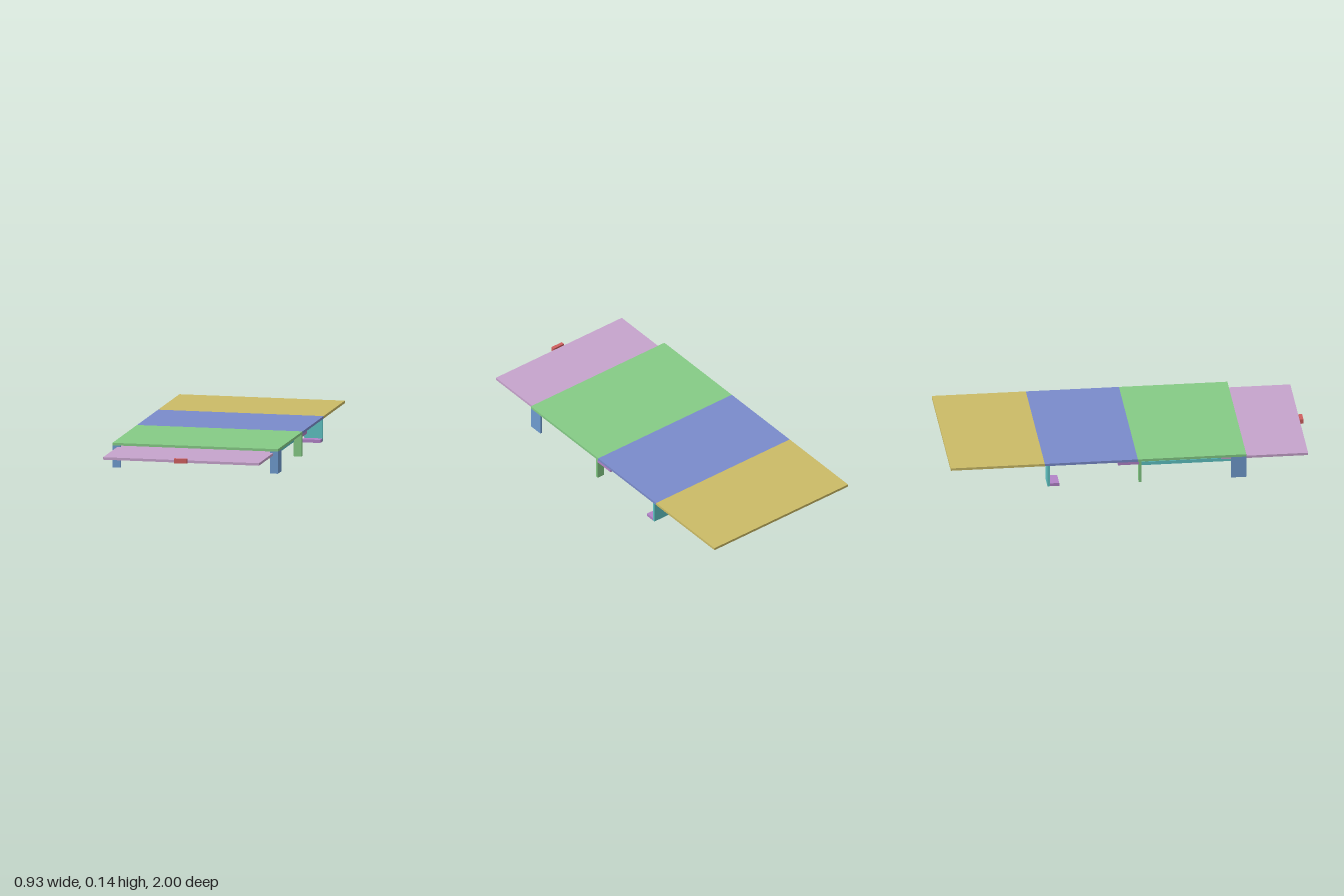
import * as THREE from 'three';

const mat = (name, color) => {
  const m = new THREE.MeshStandardMaterial({ color });
  m.name = name;
  return m;
};

export function createModel() {
  const M = {
    yellow: mat('sand yellow', 0xcbbb66),
    blue: mat('slate blue', 0x7a8bcb),
    green: mat('leaf green', 0x85cb86),
    mauve: mat('pale mauve', 0xc6a3cc),
    red: mat('soft red', 0xcf5f5f),
    steel: mat('steel blue', 0x6f9bcf),
    teal: mat('teal', 0x5fc3c3),
    lime: mat('lime', 0xa9cb78),
    violet: mat('violet', 0xb283c8),
    dark: mat('dark brown', 0x54464a),
  };
  const group = new THREE.Group();

  // Box given by its min and max on each axis
  const box = (name, m, [x0, x1], [y0, y1], [z0, z1]) => {
    const mesh = new THREE.Mesh(new THREE.BoxGeometry(x1 - x0, y1 - y0, z1 - z0), m);
    mesh.position.set((x0 + x1) / 2, (y0 + y1) / 2, (z0 + z1) / 2);
    mesh.name = name;
    group.add(mesh);
  };
  // The same box on both sides
  const pair = (name, m, [x0, x1], y, z) => {
    box(name + 'Left', m, [x0, x1], y, z);
    box(name + 'Right', m, [-x1, -x0], y, z);
  };

  // Three-part folding top
  const W = [-0.467, 0.467], T = [0.123, 0.137];
  box('rearPanel', M.yellow, W, T, [-1, -0.48]);
  box('middlePanel', M.blue, W, T, [-0.48, 0.035]);
  box('frontPanel', M.green, W, T, [0.035, 0.635]);

  // Sliding extension board and its pull
  box('slidingBoard', M.mauve, [-0.44, 0.44], [0.101, 0.115], [0.5, 0.98]);
  box('pullHandle', M.red, [-0.036, 0.036], [0.1, 0.125], [0.98, 1]);

  // Front legs: angle sections open to the back and inside
  pair('frontLegSide', M.steel, [0.457, 0.467], [0, 0.123], [0.55, 0.635]);
  pair('frontLegFace', M.steel, [0.422, 0.457], [0, 0.123], [0.625, 0.635]);

  // Middle legs with the hinge plates behind them
  pair('middleLeg', M.green, [0.422, 0.467], [0, 0.123], [0.04, 0.055]);
  pair('hingePlate', M.violet, [0.422, 0.467], [0.107, 0.123], [-0.075, 0.04]);

  // Rear legs with feet pointing forward
  pair('rearLeg', M.teal, [0.363, 0.467], [0, 0.123], [-0.465, -0.452]);
  pair('rearFoot', M.violet, [0.363, 0.467], [0, 0.017], [-0.452, -0.4]);

  // Runners and cross bar under the front panel
  pair('outerRail', M.teal, [0.379, 0.423], [0.08, 0.1], [0.05, 0.602]);
  pair('innerRail', M.teal, [0.228, 0.272], [0.08, 0.1], [0.05, 0.602]);
  box('crossBar', M.lime, [-0.425, 0.425], [0.077, 0.1], [0.588, 0.6]);

  // Hanging tabs, latches and stops
  pair('hangingTab', M.yellow, [0.046, 0.136], [0.052, 0.123], [0.04, 0.053]);
  pair('latch', M.dark, [0.165, 0.225], [0.117, 0.123], [0, 0.09]);
  pair('boardStop', M.red, [0.175, 0.225], [0.117, 0.123], [0.43, 0.5]);

  return group;
}
